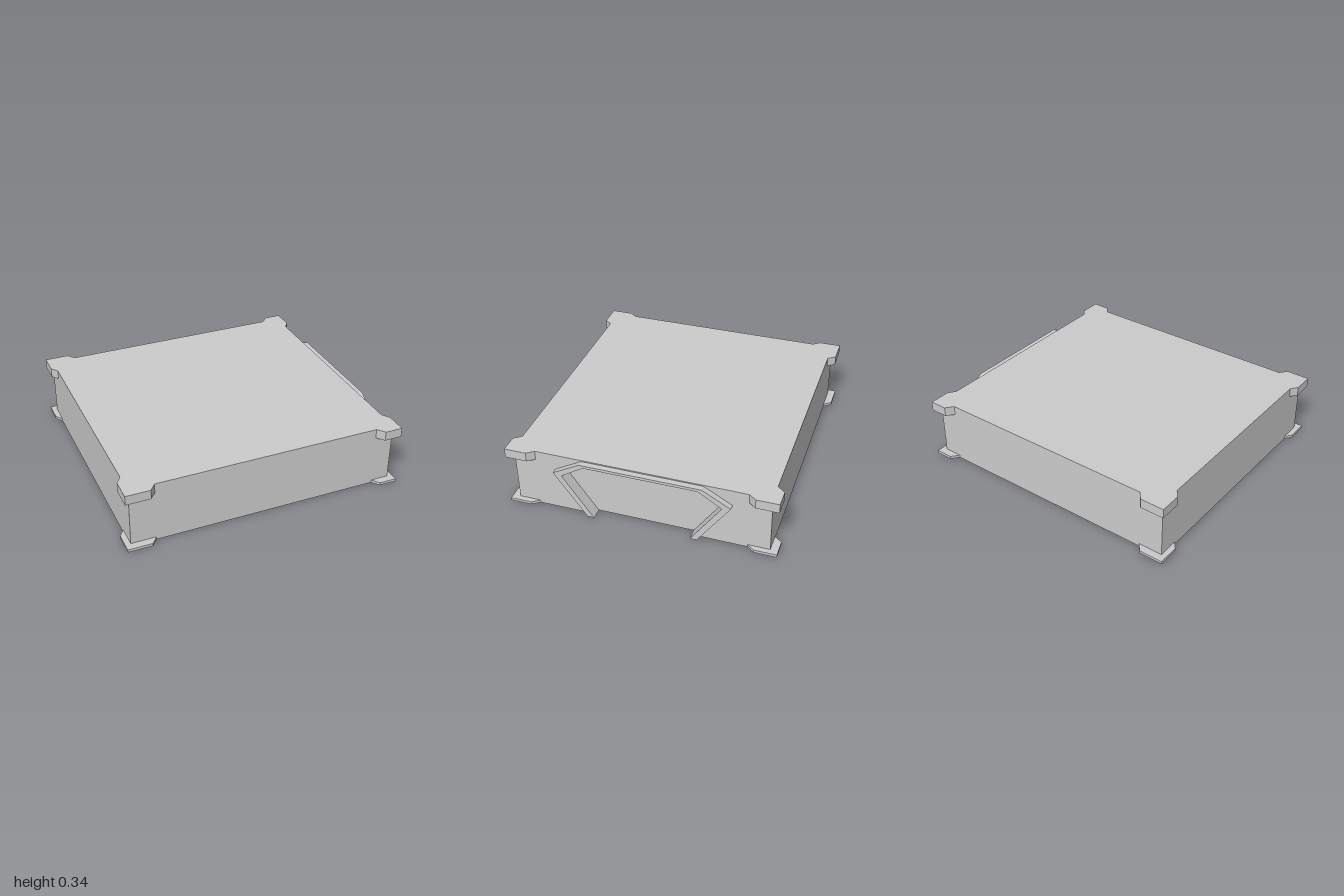
import * as THREE from 'three';

const HX = 0.655, HZ = 0.703, H = 0.326; // wall half sizes and height
const TIP_X = 0.694, TIP_Z = 0.731;      // outer corner of the corner pads
const INSET = 0.02;                      // how far pads reach inside the walls

const mat = new THREE.MeshStandardMaterial({ color: 0xcccccc, flatShading: true, side: THREE.DoubleSide });

const shapeOf = pts => new THREE.Shape(pts.map(([x, y]) => new THREE.Vector2(x, y)));

function add(parent, name, geometry, x = 0, y = 0, z = 0) {
  const mesh = new THREE.Mesh(geometry, mat);
  mesh.name = name;
  mesh.position.set(x, y, z);
  parent.add(mesh);
  return mesh;
}

// Half of the doorway outline, mirrored into a full open arch
function arch(half) {
  const c = -0.012;
  return [...half.map(([x, y]) => [c - x, y]), ...half.slice().reverse().map(([x, y]) => [c + x, y])];
}

// L-shaped corner pad with chamfered arm ends
function padGeometry(sx, sz, height) {
  const armZ = sz > 0 ? 0.605 : 0.638; // where the side arm ends
  const pts = [
    [TIP_X, TIP_Z], [0.58, TIP_Z], [0.543, HZ], [0.543, HZ - INSET],
    [HX - INSET, HZ - INSET], [HX - INSET, armZ - 0.031], [HX, armZ - 0.031], [TIP_X, armZ],
  ].map(([x, z]) => [sx * x, -sz * z]);
  return new THREE.ExtrudeGeometry(shapeOf(pts), { depth: height, bevelEnabled: false }).rotateX(-Math.PI / 2);
}

export function createModel() {
  const model = new THREE.Group();
  model.name = 'building';
  const body = new THREE.Group();
  body.name = 'body';
  // turned on the ground, with a very slight lean
  body.rotation.set(0, -0.596, -0.008);
  body.position.y = 0.0055;
  model.add(body);

  // Roof and plain walls; the underside is open
  add(body, 'roof', new THREE.PlaneGeometry(2 * HX, 2 * HZ).rotateX(-Math.PI / 2), 0, H, 0);
  add(body, 'frontWall', new THREE.PlaneGeometry(2 * HX, H), 0, H / 2, HZ);
  for (const s of [-1, 1]) {
    add(body, s > 0 ? 'leftWall' : 'rightWall',
      new THREE.PlaneGeometry(2 * HZ, H).rotateY(s * Math.PI / 2), s * HX, H / 2, 0);
  }

  // Back wall with the doorway cut out
  const outer = arch([[0.285, 0.002], [0.452, 0.24], [0.31, 0.32]]);
  const inner = arch([[0.25, 0.002], [0.408, 0.23], [0.29, 0.305]]);
  const wall = shapeOf([[-HX, 0], [-HX, H], [HX, H], [HX, 0], ...inner.slice().reverse()]);
  add(body, 'backWall', new THREE.ShapeGeometry(wall).rotateY(Math.PI).scale(-1, 1, 1), 0, 0, -HZ);

  // Raised door frame and recessed door
  const frame = shapeOf([...outer, ...inner.slice().reverse()]);
  add(body, 'doorFrame', new THREE.ExtrudeGeometry(frame, { depth: 0.063, bevelEnabled: false }), 0, 0, -0.733);
  add(body, 'door', new THREE.ShapeGeometry(shapeOf(inner)), 0, 0, -0.671);

  // Corner pads: thick at the roof, thin at the ground
  for (const sx of [-1, 1]) {
    for (const sz of [-1, 1]) {
      add(body, 'upperCornerPad', padGeometry(sx, sz, 0.05), 0, H - 0.05, 0);
      add(body, 'lowerCornerPad', padGeometry(sx, sz, 0.015));
    }
  }
  return model;
}
